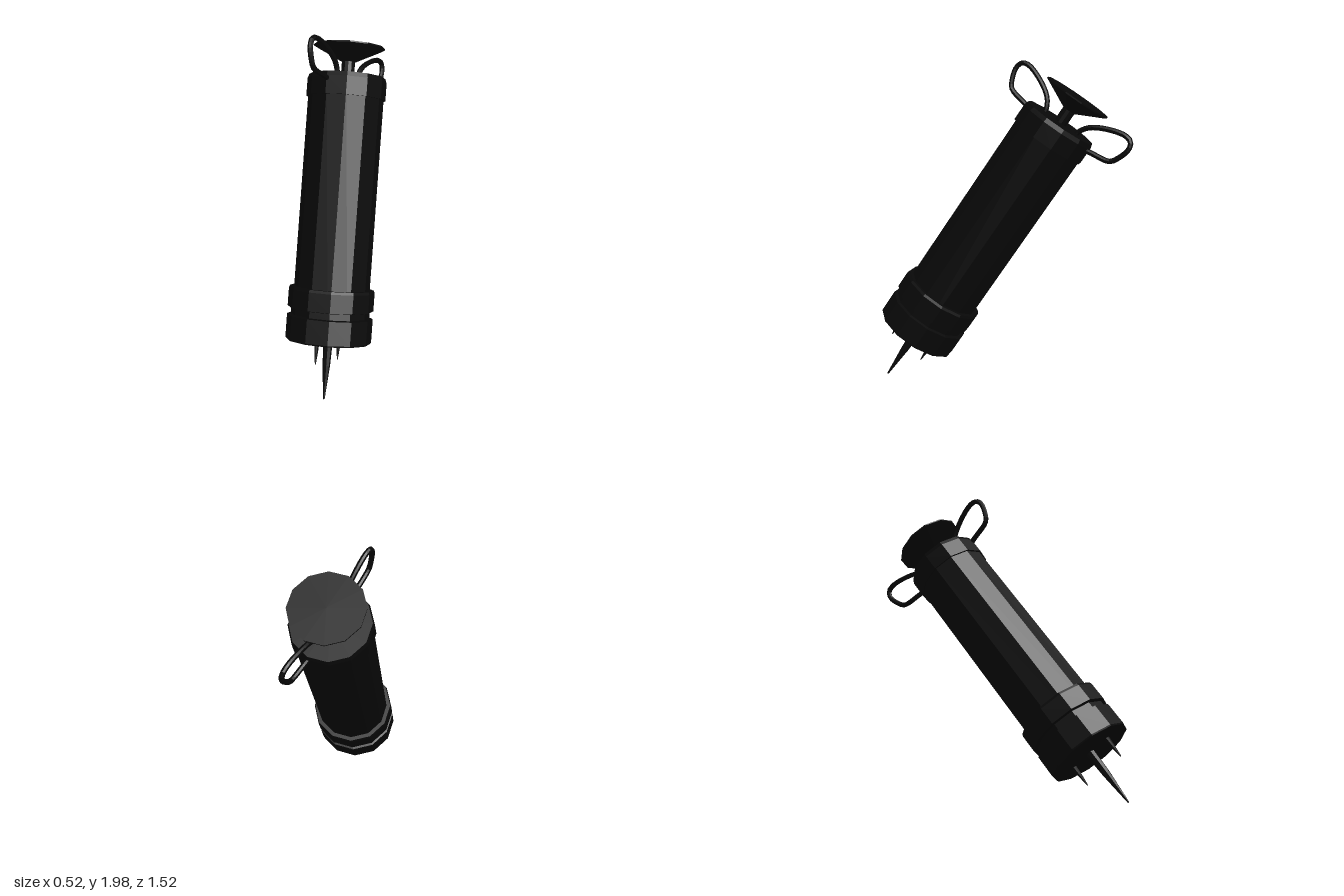
import * as THREE from 'three';

const SIDES = 12;
const PHASE = THREE.MathUtils.degToRad(6);   // turn of the twelve-sided parts
const FIN = THREE.MathUtils.degToRad(-24);   // plane of the handles and prongs
const TILT = THREE.MathUtils.degToRad(-33.7);

export function createModel() {
  const model = new THREE.Group();
  model.name = 'syringe';
  const black = new THREE.MeshStandardMaterial({ color: 0x080808, flatShading: true });

  // Everything is built upright along y, then leaned back as a whole
  const body = new THREE.Group();
  body.name = 'tiltedBody';
  body.rotation.x = TILT;
  body.position.set(0, 0.304, 0.574);
  model.add(body);

  const add = (name, geometry, parent = body) => {
    const mesh = new THREE.Mesh(geometry, black);
    mesh.name = name;
    parent.add(mesh);
    return mesh;
  };

  // Turned part from [radius, height] pairs, listed bottom to top
  const turned = (name, profile, sides = SIDES, parent = body) =>
    add(name, new THREE.LatheGeometry(
      profile.map(([r, y]) => new THREE.Vector2(r, y)), sides, PHASE), parent);

  // Barrel with its collars
  turned('barrel', [[0, 0.02], [0.229, 0.02], [0.229, 1.5], [0, 1.5]]);
  turned('baseCollar', [[0, 0], [0.257, 0], [0.26, 0.008], [0.26, 0.148], [0.238, 0.153],
    [0.238, 0.19], [0.26, 0.195], [0.26, 0.305], [0.254, 0.32], [0.22, 0.32]]);
  turned('topCap', [[0.22, 1.468], [0.24, 1.468], [0.24, 1.575], [0.231, 1.602], [0, 1.602]]);

  // Plunger rod flaring into a flat thumb disc
  turned('plungerRod', [[0.04, 1.58], [0.04, 1.7]]);
  turned('thumbDisc', [[0, 1.69], [0.042, 1.69], [0.216, 1.776], [0.216, 1.784], [0, 1.784]]);

  // Main needle
  turned('mainNeedle', [[0, -0.357], [0.005, -0.355], [0.023, -0.15], [0.029, 0.01]], 8);

  // Two opposite finger loops and two short prongs
  const loopPath = new THREE.CatmullRomCurve3([
    [0.2, 1.545], [0.245, 1.562], [0.385, 1.591], [0.413, 1.63], [0.437, 1.711], [0.42, 1.753],
    [0.372, 1.764], [0.246, 1.726], [0.159, 1.672], [0.122, 1.611], [0.12, 1.57],
  ].map(([out, y]) => new THREE.Vector3(0, y, out)), false, 'centripetal');

  for (const [label, turn] of [['front', 0], ['back', Math.PI]]) {
    const side = new THREE.Group();
    side.name = label + 'Fittings';
    side.rotation.y = FIN + turn;
    body.add(side);
    add(label + 'FingerLoop', new THREE.TubeGeometry(loopPath, 32, 0.016, 8), side);
    const prong = turned(label + 'Prong',
      [[0, -0.131], [0.003, -0.13], [0.011, -0.06], [0.016, 0.01]], 8, side);
    prong.position.z = 0.129;
  }
  return model;
}
